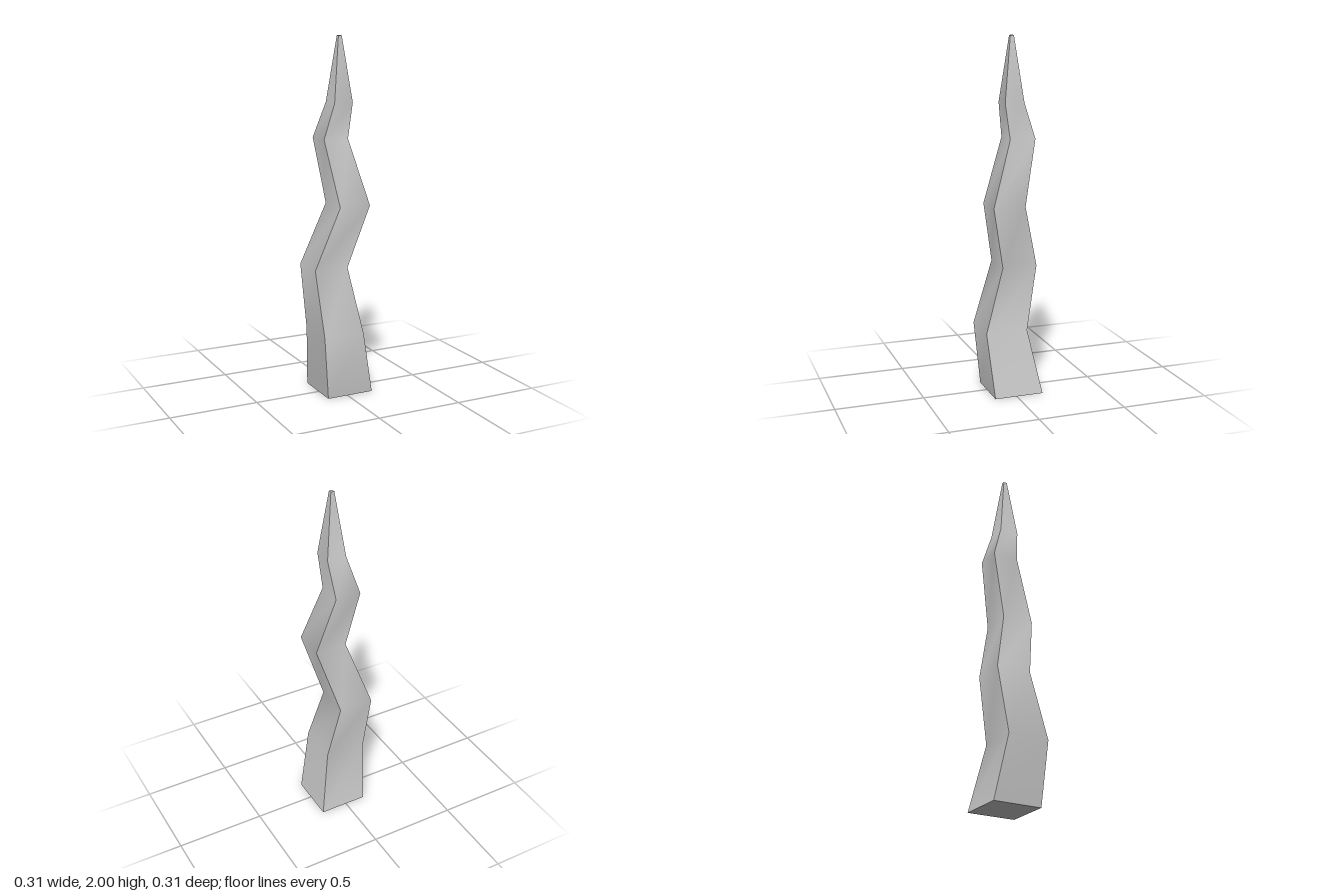
import * as THREE from 'three';
import { mergeGeometries } from 'three/addons/utils/BufferGeometryUtils.js';

// Square sections up the spike: [y, xMin, xMax, zMin, zMax]
const SECTIONS = [
  [0.00, -0.120, 0.155, -0.154, 0.127],
  [0.36, -0.154, 0.086, -0.085, 0.155],
  [0.72, -0.158, 0.041, -0.157, 0.043],
  [1.08, -0.046, 0.136, -0.055, 0.127],
  [1.44, -0.085, 0.061, -0.139, 0.007],
  [1.64, -0.037, 0.073, -0.070, 0.040],
  [2.00, 0.008, 0.028, -0.025, -0.005],
];

// Corners of a section, counter-clockwise seen from above
const corners = ([y, x0, x1, z0, z1]) => [[x0, y, z1], [x1, y, z1], [x1, y, z0], [x0, y, z0]];

// Strip of quads through pairs of points, smooth along its length
function strip(pairs) {
  const geometry = new THREE.BufferGeometry();
  geometry.setAttribute('position', new THREE.Float32BufferAttribute(pairs.flat(2), 3));
  const index = [];
  for (let i = 0; i < pairs.length - 1; i++) {
    const a = 2 * i;
    index.push(a, a + 1, a + 3, a, a + 3, a + 2);
  }
  geometry.setIndex(index);
  geometry.computeVertexNormals();
  return geometry;
}

export function createModel() {
  const rings = SECTIONS.map(corners);
  const parts = [];

  // Four sides, each with its own vertices so the long edges stay sharp
  for (let s = 0; s < 4; s++) {
    parts.push(strip(rings.map((r) => [r[s], r[(s + 1) % 4]])));
  }

  // Flat base and tip
  const base = rings[0];
  const tip = rings[rings.length - 1];
  parts.push(strip([[base[3], base[2]], [base[0], base[1]]]));
  parts.push(strip([[tip[0], tip[1]], [tip[3], tip[2]]]));

  const spike = new THREE.Mesh(
    mergeGeometries(parts),
    new THREE.MeshStandardMaterial({ color: 0xcccccc }),
  );
  spike.name = 'crookedSpike';

  const model = new THREE.Group();
  model.name = 'spike';
  model.add(spike);
  return model;
}
